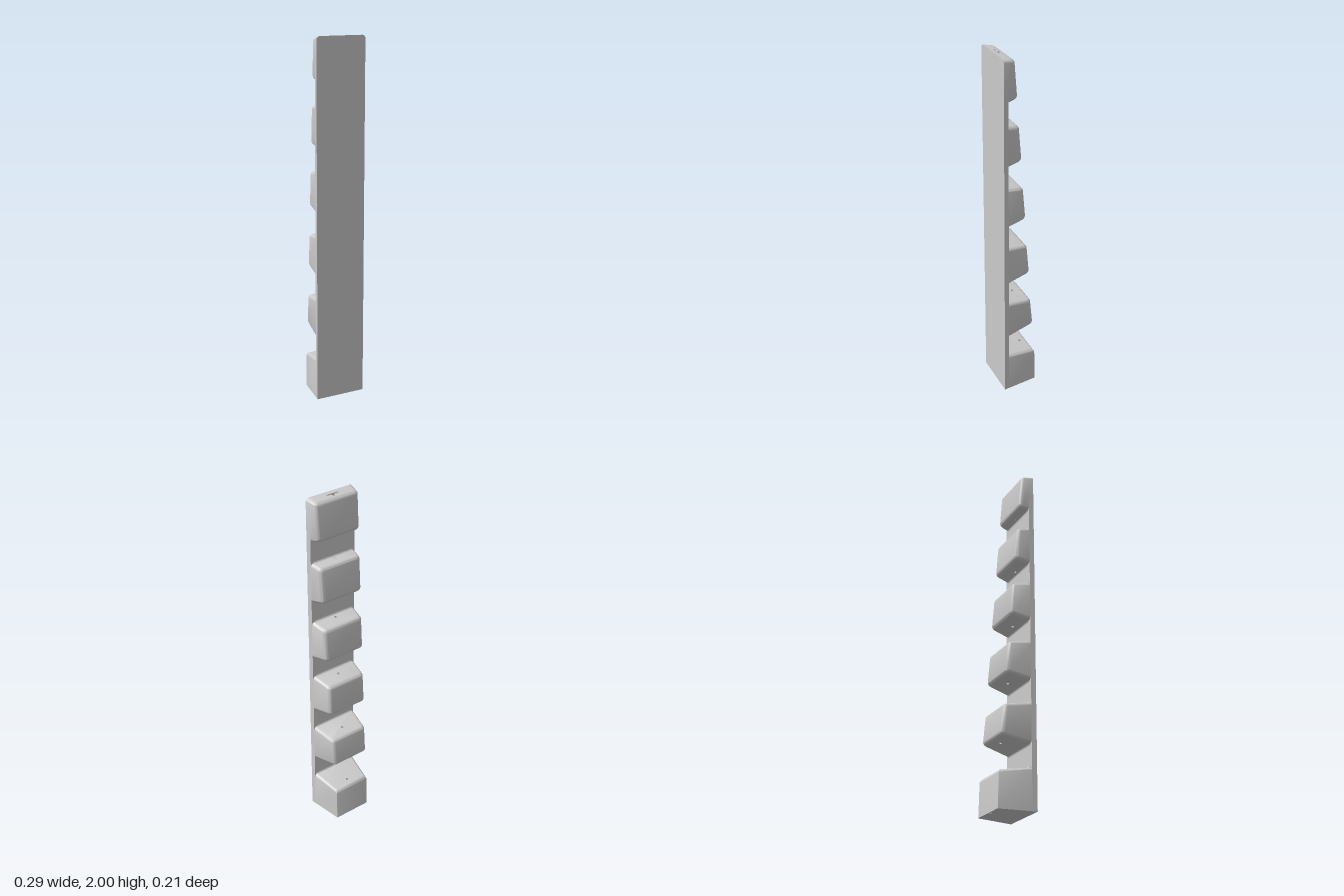
import * as THREE from 'three';
import { mergeGeometries, toCreasedNormals } from 'three/addons/utils/BufferGeometryUtils.js';

const FRONT = 0.104, ROOT = 0.077;            // front plane and rear plane of the backing strip
const halfWidth = z => 0.1275 + 0.168 * z;    // sides taper toward the rear
const rearZ = y => Math.max(-0.104, -0.114 + 0.0753 * y); // leaning rear plane of the blocks
const tunnelZ = y => 0.068 - 0.158 * ((1.85 - y) / 1.85) ** 2; // curved bore through all blocks
const V2 = (x, z) => new THREE.Vector2(x, z);

// Skin consecutive closed loops of Vector3
function skin(loops) {
  const n = loops[0].length, index = [];
  for (let j = 0; j < loops.length - 1; j++)
    for (let i = 0; i < n; i++) {
      const a = j * n + i, b = j * n + (i + 1) % n;
      index.push(a, b, b + n, a, b + n, a + n);
    }
  const g = new THREE.BufferGeometry().setFromPoints(loops.flat());
  g.setIndex(index);
  return g.toNonIndexed();
}

// Fill an (x, z) outline with an optional hole, laid on the surface y = f(z)
function cap(outline, hole, f, down) {
  const flip = pts => pts.map(p => V2(p.x, -p.y));
  const shape = new THREE.Shape(flip(outline));
  if (hole) shape.holes.push(new THREE.Path(flip(hole)));
  const g = new THREE.ShapeGeometry(shape);
  const p = g.attributes.position;
  for (let i = 0; i < p.count; i++) {
    const z = -p.getY(i);
    p.setXYZ(i, p.getX(i), f(z), z);
  }
  if (down) g.index.array.reverse();
  g.deleteAttribute('normal');
  g.deleteAttribute('uv');
  return g.toNonIndexed();
}

// Horizontal block outline, inset by d, with rounded rear corners
function outline(z0, zr, d, rc) {
  const z = zr + d, r = Math.max(0.002, rc - d * 0.6);
  const corner = V2(halfWidth(z) - d, z);
  const arc = new THREE.QuadraticBezierCurve(
    V2(halfWidth(z + r) - d, z + r), corner, V2(corner.x - r, z)).getPoints(6);
  const half = [V2(halfWidth(z0) - d, z0), ...arc];
  return [...half, ...half.map(p => V2(-p.x, p.y)).reverse()];
}

function circle(z) {
  return Array.from({ length: 20 }, (_, i) => {
    const a = i / 20 * Math.PI * 2;
    return V2(0.0085 * Math.cos(a), z - 0.0085 * Math.sin(a));
  });
}

// Round bore joined with a flat slot, in the top end
function keyhole() {
  const z = tunnelZ(2), pts = [V2(-0.037, 0.073), V2(-0.037, 0.08), V2(0.037, 0.08), V2(0.037, 0.073)];
  const a0 = Math.asin((z - 0.073) / 0.0085);
  for (let i = 0; i <= 14; i++) {
    const a = a0 + (Math.PI - 2 * a0) * i / 14;
    pts.push(V2(0.0085 * Math.cos(a), z - 0.0085 * Math.sin(a)));
  }
  return pts;
}

const lift = (pts, f) => pts.map(p => new THREE.Vector3(p.x, f(p.y), p.y));

function blockGeometry(i) {
  const first = i === 0, last = i === 5;
  const yt = last ? 1.996 : 0.231 + 0.3535 * i, yb = first ? 0 : 0.358 + 0.353 * (i - 1);
  const r = 0.02, z0 = last ? FRONT : ROOT + 0.003, rc = first ? 0.003 : 0.022;
  const top = z => yt + 0.15 * (z - ROOT);
  const bottom = z => first ? 0 : yb + 0.2 * (ROOT - z);
  const zTop = rearZ(yt - 0.02), zBottom = rearZ(yb + 0.02);
  const loops = [], steps = 6;
  // rounded lower edge (square on the lowest block), then rounded upper edge
  if (first) loops.push(lift(outline(z0, zBottom, 0, rc), bottom));
  else for (let k = steps; k >= 0; k--) {
    const a = k / steps * Math.PI / 2;
    loops.push(lift(outline(z0, zBottom, r * (1 - Math.cos(a)), rc), z => bottom(z) + r * (1 - Math.sin(a))));
  }
  for (let k = 0; k <= steps; k++) {
    const a = k / steps * Math.PI / 2;
    loops.push(lift(outline(z0, zTop, r * (1 - Math.cos(a)), rc), z => top(z) - r * (1 - Math.sin(a))));
  }
  const low = circle(tunnelZ(yb)), high = last ? keyhole() : circle(tunnelZ(yt));
  const parts = [
    skin(loops),
    cap(outline(z0, zBottom, first ? 0 : r, rc), low, bottom, true),
    cap(outline(z0, zTop, r, rc), high, top, false),
  ];
  // bore walls face inward
  const wall = (a, fa, b, fb) => parts.push(skin([lift(a, fa).reverse(), lift(b, fb).reverse()]));
  if (last) {
    const floor = () => 1.88;
    wall(high, floor, high, top);
    parts.push(cap(high, null, floor, false));
    wall(low, bottom, circle(tunnelZ(1.88)), floor);
  } else wall(low, bottom, high, top);
  return { geometry: toCreasedNormals(mergeGeometries(parts), 0.6), yt, yb };
}

// Small concave fillet where a block meets the strip; dir +1 above, -1 below
function filletGeometry(y, dir) {
  const r = 0.012, w = 0.122, e = 0.004;
  const s = new THREE.Shape();
  s.moveTo(ROOT + e, y - dir * e);
  s.lineTo(ROOT - r, y - dir * e);
  s.quadraticCurveTo(ROOT, y, ROOT, y + dir * r);
  s.lineTo(ROOT + e, y + dir * r);
  const g = new THREE.ExtrudeGeometry(s, { depth: 2 * w, bevelEnabled: false, curveSegments: 6 });
  return g.translate(0, 0, -w).rotateY(-Math.PI / 2);
}

export function createModel() {
  const model = new THREE.Group();
  const material = new THREE.MeshStandardMaterial({ color: 0xcccccc });
  const add = (geometry, name, parent = model) => {
    const mesh = new THREE.Mesh(geometry, material);
    mesh.name = name;
    parent.add(mesh);
  };

  // Backing strip with tapered sides
  const strip = new THREE.BoxGeometry(2, 1.85, FRONT - ROOT);
  strip.translate(0, 0.925, (FRONT + ROOT) / 2);
  const p = strip.attributes.position;
  for (let i = 0; i < p.count; i++) p.setX(i, p.getX(i) * halfWidth(p.getZ(i)));
  strip.computeVertexNormals();
  add(strip, 'backingStrip');

  // Six blocks, shallower toward the top
  for (let i = 0; i < 6; i++) {
    const group = new THREE.Group();
    group.name = `blockUnit${i + 1}`;
    const { geometry, yt, yb } = blockGeometry(i);
    add(geometry, 'block', group);
    if (i < 5) add(filletGeometry(yt, 1), 'upperFillet', group);
    if (i > 0) add(filletGeometry(yb, -1), 'lowerFillet', group);
    model.add(group);
  }
  return model;
}
